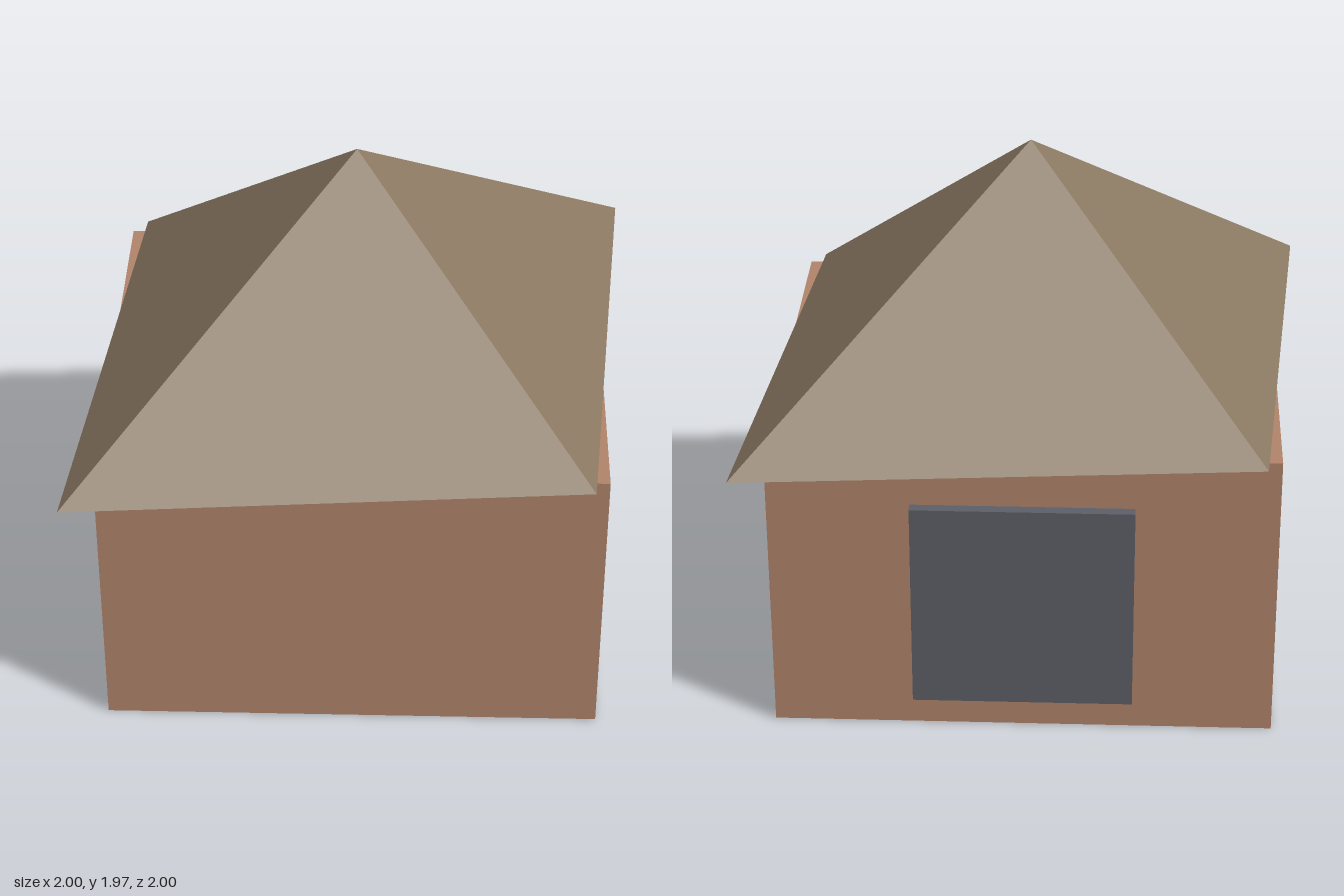
import * as THREE from 'three';

const flat = (name, color) => {
  const m = new THREE.MeshStandardMaterial({ color });
  m.name = name;
  return m;
};

export function createModel() {
  const group = new THREE.Group();
  group.name = 'hut';

  const clay = flat('clay', 0xb0836a);
  const thatch = flat('thatch', 0x8a7861);
  const slate = flat('slate', 0x5c5f67);
  const stone = flat('stone', 0xb9bdb2);

  const add = (name, geometry, material, x, y, z) => {
    const mesh = new THREE.Mesh(geometry, material);
    mesh.name = name;
    mesh.position.set(x, y, z);
    group.add(mesh);
    return mesh;
  };
  // Box given by its size and the height of its underside
  const box = (name, material, w, h, d, bottom, z = 0) =>
    add(name, new THREE.BoxGeometry(w, h, d), material, 0, bottom + h / 2, z);

  // Body, a hair above the ground so the floor slab shows underneath
  box('walls', clay, 1.8, 1.1, 1.57, 0.002);
  box('floorSlab', stone, 1.2, 0.008, 1.02, 0);

  // Square door panel on the back wall
  box('door', slate, 0.79, 0.79, 0.05, 0.12, -0.8);

  // Four-sided roof, stretched along one diagonal, with flat faces
  const roof = new THREE.ConeGeometry(1, 0.86, 4)
    .scale(Math.SQRT2, 1, 1.2)
    .rotateY(Math.PI / 4)
    .toNonIndexed();
  roof.computeVertexNormals();
  add('roof', roof, thatch, 0, 1.105 + 0.43, 0);

  return group;
}
